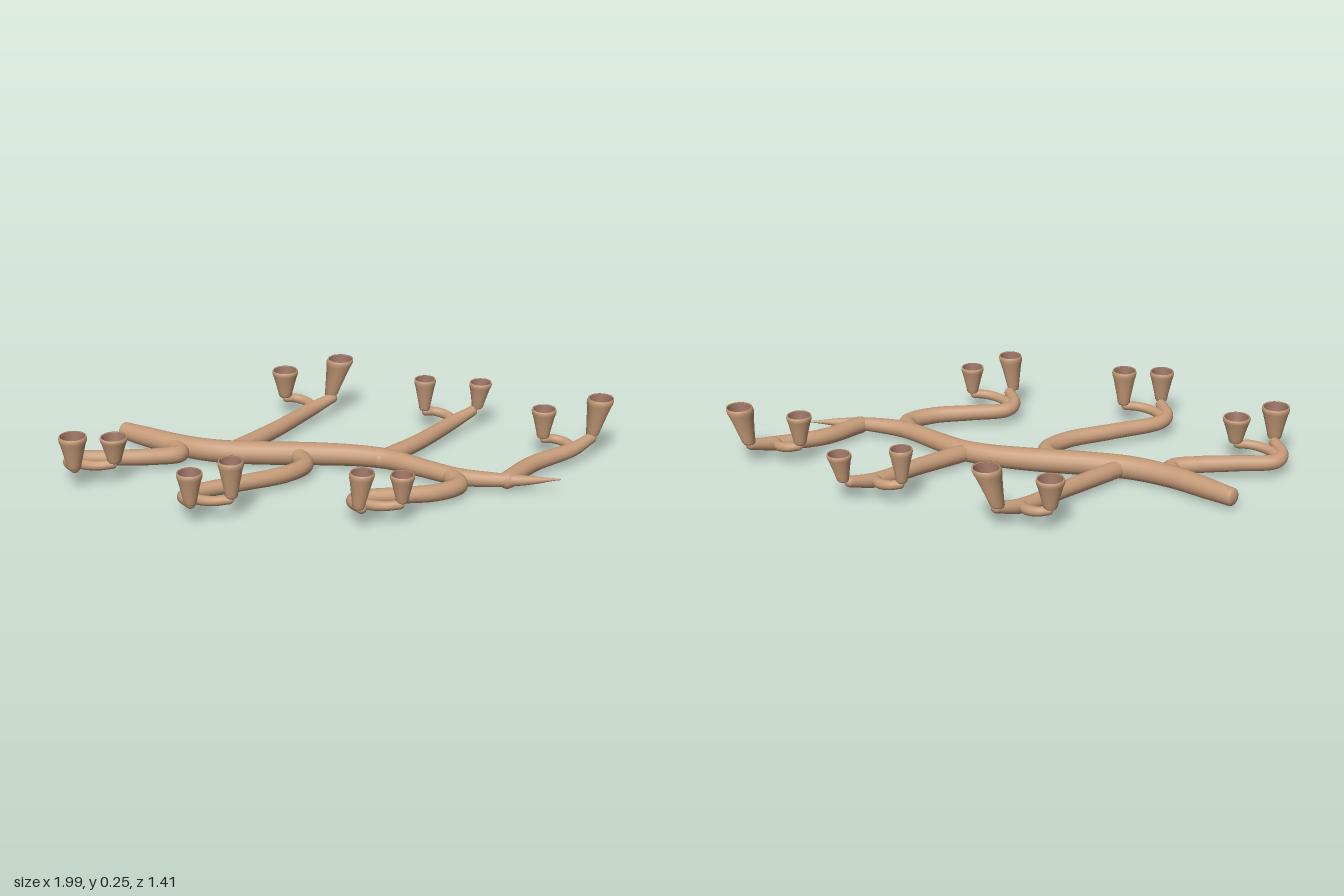
import * as THREE from 'three';

const bark = new THREE.MeshStandardMaterial({ color: 0xc49a78 });
const hollow = new THREE.MeshStandardMaterial({ color: 0x9a7263, side: THREE.DoubleSide });

// Tapered round limb through [x, y, z, radius] points, with rounded ends
function limb(name, pts, segments, endDepth) {
  const group = new THREE.Group();
  group.name = name;
  const curve = new THREE.CatmullRomCurve3(pts.map(p => new THREE.Vector3(p[0], p[1], p[2])));
  const radii = new THREE.SplineCurve(pts.map((p, i) => new THREE.Vector2(i, p[3])));
  const sides = 16;
  const geo = new THREE.TubeGeometry(curve, segments, 1, sides, false);
  const pos = geo.attributes.position;
  const v = new THREE.Vector3();
  for (let i = 0; i <= segments; i++) {
    const u = i / segments;
    const c = curve.getPointAt(u);
    const r = radii.getPoint(curve.getUtoTmapping(u)).y;
    for (let j = 0; j <= sides; j++) {
      const k = i * (sides + 1) + j;
      v.fromBufferAttribute(pos, k).sub(c).multiplyScalar(r).add(c);
      pos.setXYZ(k, v.x, v.y, v.z);
    }
  }
  const tube = new THREE.Mesh(geo, bark);
  tube.name = name + 'Wood';
  group.add(tube);
  for (const u of [0, 1]) {
    const r = pts[u * (pts.length - 1)][3];
    const cap = new THREE.Mesh(new THREE.SphereGeometry(r, 16, 10), bark);
    cap.name = name + 'End';
    cap.position.copy(curve.getPointAt(u));
    cap.quaternion.setFromUnitVectors(new THREE.Vector3(0, 0, 1), curve.getTangentAt(u));
    cap.scale.z = endDepth;
    group.add(cap);
  }
  return group;
}

// Flared hollow cup: rim centre, rim height, rim radius, lean of the base
function cup({ x, z, top, R, dx = 0, dz = 0 }) {
  const group = new THREE.Group();
  group.name = 'cup';
  const y0 = 0.092, h = top - y0;
  const lathe = (name, mat, pts) => {
    const geo = new THREE.LatheGeometry(pts.map(([r, t]) => new THREE.Vector2(r * R, t * h)), 28);
    const p = geo.attributes.position;
    for (let i = 0; i < p.count; i++) {
      const lean = 1 - p.getY(i) / h;
      p.setX(i, p.getX(i) + dx * lean);
      p.setZ(i, p.getZ(i) + dz * lean);
    }
    const mesh = new THREE.Mesh(geo, mat);
    mesh.name = name;
    group.add(mesh);
  };
  lathe('cupShell', bark, [[0, 0], [0.42, 0.01], [0.5, 0.06], [0.56, 0.2], [0.73, 0.5],
    [0.88, 0.75], [0.97, 0.85], [1, 0.93], [0.95, 1], [0.87, 0.99]]);
  lathe('cupHollow', hollow, [[0.87, 0.99], [0.8, 0.85], [0.65, 0.55], [0.48, 0.36], [0, 0.3]]);
  group.position.set(x, y0, z);
  return group;
}

// Branch along an [x, z] path, rising and thinning towards its main cup,
// with a side shoot that sags outwards (side = +1 front, -1 back) to a second cup
function branch(name, side, path, fork, mainCup, sideCup) {
  const group = new THREE.Group();
  group.name = name;
  const last = path.length - 1;
  group.add(limb('bough', path.map(([x, z], i) => {
    const t = i / last;
    return [x, 0.048 + 0.036 * t * t, z, 0.035 - 0.013 * t * t];
  }), 48, 1));
  const shoot = [0, 0.33, 0.7, 0.96].map(t => [
    THREE.MathUtils.lerp(fork[0], sideCup.x, t),
    0.07 + 0.015 * t,
    THREE.MathUtils.lerp(fork[1], sideCup.z, t) + side * 0.15 * t * (1 - t),
    0.021 - 0.003 * t,
  ]);
  group.add(limb('sideShoot', shoot, 20, 1), cup(mainCup), cup(sideCup));
  return group;
}

// Front branches kink out of the stem, run back along it and hook round to the cup
function frontBranch(name, [rx, rz], [ex, ez], mainCup, sideCup) {
  const { x, z } = mainCup;
  const bend = [x - 0.068, z - 0.152];
  const path = [[rx, rz], [rx + 0.06, rz + 0.075], [ex, ez], [(ex + bend[0]) / 2, (ez + bend[1]) / 2],
    bend, [x - 0.07, z - 0.095], [x - 0.012, z - 0.027]];
  return branch(name, 1, path, [x - 0.066, z - 0.12], mainCup, sideCup);
}

// Back branches reach outwards through a knee and fork just before the cup
function backBranch(name, root, knee, mainCup, sideCup) {
  const { x, z } = mainCup;
  const fork = [x - 0.078, z + 0.127];
  return branch(name, -1, [root, knee, fork, [x - 0.026, z + 0.032]], fork, mainCup, sideCup);
}

export function createModel() {
  const model = new THREE.Group();
  model.name = 'branchingCupStand';

  // Winding main stem of [x, z, radius] points, tapering to a point
  const stem = [[-0.92, -0.005, 0.036], [-0.8, 0.025, 0.041], [-0.64, 0.058, 0.044],
    [-0.48, 0.06, 0.046], [-0.3, 0.015, 0.047], [-0.1, -0.05, 0.046], [0.07, -0.092, 0.043],
    [0.19, -0.1, 0.041], [0.34, -0.065, 0.037], [0.5, -0.03, 0.034], [0.64, -0.048, 0.029],
    [0.77, -0.09, 0.018], [0.885, -0.143, 0.003]];
  model.add(limb('mainStem', stem.map(([x, z, r]) => [x, 0.05, z, r]), 96, 0.5));

  model.add(frontBranch('frontRightBranch', [-0.67, 0.06], [-0.69, 0.205],
    { x: -0.89, z: 0.505, top: 0.228, R: 0.056 }, { x: -0.77, z: 0.395, top: 0.2, R: 0.055 }));
  model.add(frontBranch('frontMiddleBranch', [-0.16, -0.01], [-0.13, 0.18],
    { x: -0.33, z: 0.655, top: 0.222, R: 0.05 }, { x: -0.21, z: 0.545, top: 0.242, R: 0.05 }));
  model.add(frontBranch('frontLeftBranch', [0.47, -0.03], [0.47, 0.15],
    { x: 0.285, z: 0.475, top: 0.242, R: 0.048, dx: -0.015 }, { x: 0.405, z: 0.365, top: 0.206, R: 0.047 }));

  model.add(backBranch('backRightBranch', [-0.43, 0.03], [-0.345, -0.22],
    { x: -0.195, z: -0.6, top: 0.254, R: 0.056, dx: -0.035, dz: 0.025 },
    { x: -0.405, z: -0.495, top: 0.212, R: 0.055 }));
  model.add(backBranch('backMiddleBranch', [0.16, -0.09], [0.25, -0.3],
    { x: 0.405, z: -0.66, top: 0.206, R: 0.047, dx: -0.01, dz: 0.01 },
    { x: 0.195, z: -0.555, top: 0.23, R: 0.045 }));
  model.add(backBranch('backLeftBranch', [0.69, -0.07], [0.745, -0.25],
    { x: 0.94, z: -0.545, top: 0.25, R: 0.054, dx: -0.025, dz: 0.02 },
    { x: 0.735, z: -0.435, top: 0.216, R: 0.05 }));
  return model;
}
